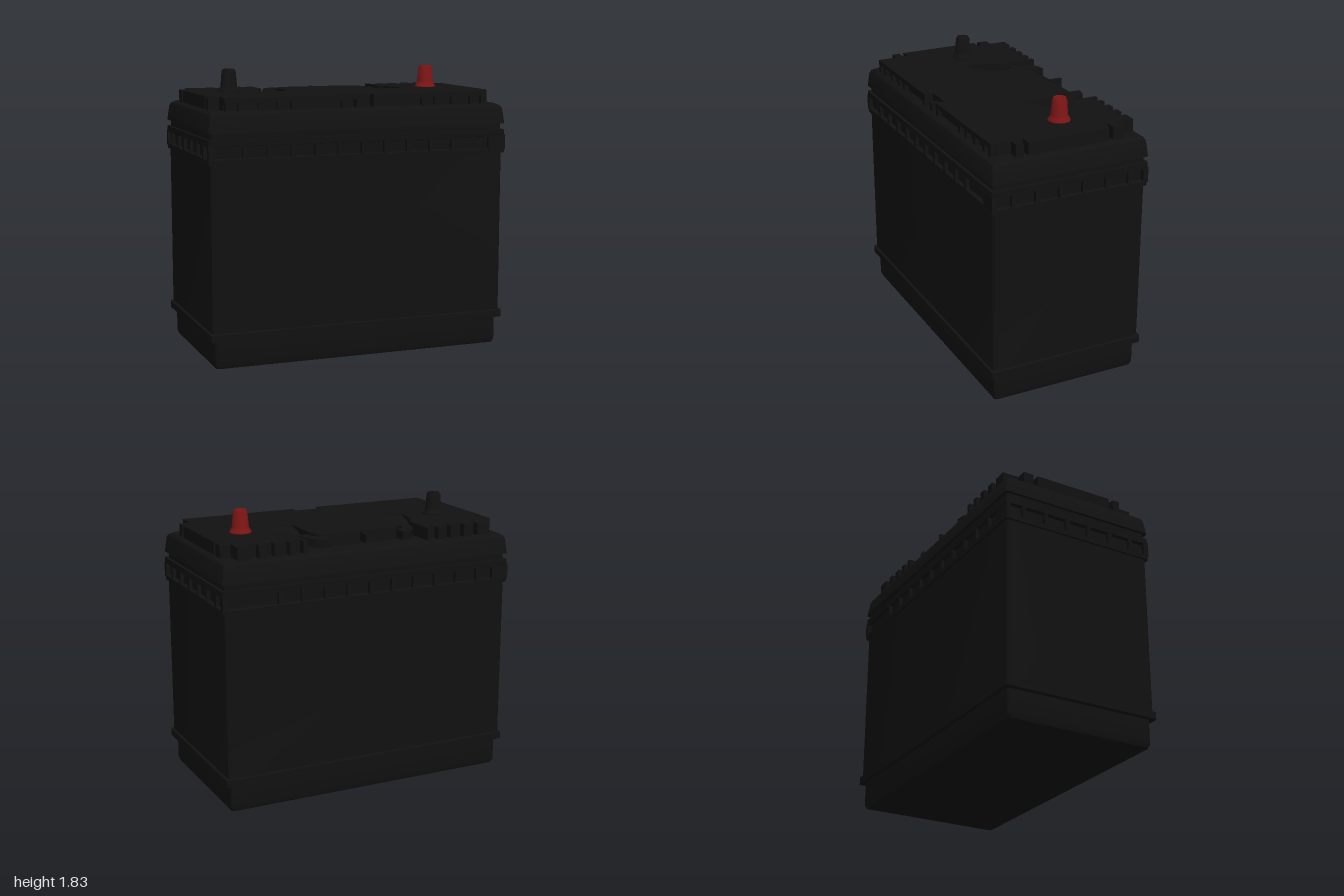
import * as THREE from 'three';
import { toCreasedNormals } from 'three/addons/utils/BufferGeometryUtils.js';

const black = new THREE.MeshStandardMaterial({ color: 0x111111 });
const red = new THREE.MeshStandardMaterial({ color: 0x7a1414 });

// Stack of rounded rectangles: each level is [halfX, halfZ, y].
function loft(levels, r = 0.02, seg = 3) {
  const pos = [], index = [];
  const n = 4 * (seg + 1);
  for (const [hx, hz, y] of levels) {
    for (let c = 0; c < 4; c++) {
      const sx = c === 0 || c === 3 ? 1 : -1, sz = c < 2 ? 1 : -1;
      for (let k = 0; k <= seg; k++) {
        const a = (c + k / seg) * Math.PI / 2;
        pos.push(sx * (hx - r) + r * Math.cos(a), y, sz * (hz - r) + r * Math.sin(a));
      }
    }
  }
  const last = (levels.length - 1) * n;
  for (let l = 0; l < last; l += n) {
    for (let i = 0; i < n; i++) {
      const j = (i + 1) % n;
      index.push(l + i, l + n + i, l + j, l + j, l + n + i, l + n + j);
    }
  }
  for (let i = 1; i < n - 1; i++) {
    index.push(0, i, i + 1, last, last + i + 1, last + i);
  }
  const g = new THREE.BufferGeometry();
  g.setAttribute('position', new THREE.Float32BufferAttribute(pos, 3));
  g.setIndex(index);
  return toCreasedNormals(g, 0.6);
}

// Outline given as [x, z] for the +x half, mirrored and raised from y0 to y1.
function plan(half, y0, y1) {
  const all = [...half, ...half.map(([x, z]) => [-x, z]).reverse()];
  const shape = new THREE.Shape(all.map(([x, z]) => new THREE.Vector2(x, -z)));
  const g = new THREE.ExtrudeGeometry(shape, { depth: y1 - y0, bevelEnabled: false });
  return g.rotateX(-Math.PI / 2).translate(0, y0, 0);
}

export function createModel() {
  const model = new THREE.Group();
  const add = (name, geometry, material = black, parent = model) => {
    const m = new THREE.Mesh(geometry, material);
    m.name = name;
    parent.add(m);
    return m;
  };
  const box = (name, x0, x1, y0, y1, z0, z1, parent) => add(name,
    new THREE.BoxGeometry(x1 - x0, y1 - y0, z1 - z0)
      .translate((x0 + x1) / 2, (y0 + y1) / 2, (z0 + z1) / 2), black, parent);

  // Case with stepped foot and lower rib
  add('case', loft([
    [0.955, 0.49, 0], [0.965, 0.5, 0.025], [0.965, 0.5, 0.18], [1, 0.53, 0.18],
    [1, 0.53, 0.225], [0.985, 0.515, 0.23], [0.985, 0.515, 1.28],
  ]));

  // Upper band: two rails around a recessed core
  add('bandCore', loft([
    [1, 0.53, 1.28], [1, 0.53, 1.31], [0.975, 0.505, 1.315],
    [0.975, 0.505, 1.385], [1, 0.53, 1.39], [1, 0.53, 1.43],
  ]));
  const ribs = new THREE.Group();
  ribs.name = 'bandRibs';
  model.add(ribs);
  for (const s of [-1, 1]) {
    for (let i = 0; i < 10; i++) {
      const x = -0.77 + i * 0.155;
      box('bandRib', x - 0.012, x + 0.012, 1.3, 1.4, s * 0.515 - 0.014, s * 0.515 + 0.014, ribs);
    }
    for (let i = 0; i < 6; i++) {
      const z = -0.4 + i * 0.158;
      box('bandRib', s * 0.985 - 0.014, s * 0.985 + 0.014, 1.3, 1.4, z - 0.012, z + 0.012, ribs);
    }
    for (const t of [-1, 1]) {
      const w = s * t > 0 ? 0.12 : 0.035;
      box('bandCorner', s * (1 - w / 2) - w / 2, s * (1 - w / 2) + w / 2, 1.3, 1.4,
        t * 0.512 - 0.017, t * 0.512 + 0.017, ribs);
    }
  }

  // Lid flange above a narrow neck
  add('lidFlange', loft([
    [0.98, 0.51, 1.42], [0.98, 0.51, 1.47], [1, 0.53, 1.47], [0.988, 0.518, 1.565],
    [0.978, 0.508, 1.585], [0.95, 0.48, 1.6],
  ]));

  // Raised lid with toothed back edge, notched sides and handle recess
  const teeth = [];
  for (const x of [0.79, 0.69, 0.59, 0.5]) {
    teeth.push([x, -0.48], [x, -0.43], [x - 0.05, -0.43], [x - 0.05, -0.48]);
  }
  const outline = (front) => [
    [0.09, 0.42], [0.09, front], [0.88, front], [0.88, 0.35], [0.95, 0.35], [0.95, 0.3],
    [0.88, 0.3], [0.88, 0.27], [0.95, 0.27], [0.95, -0.27], [0.88, -0.27], [0.88, -0.3],
    [0.95, -0.3], [0.95, -0.37], [0.88, -0.37], [0.88, -0.48], ...teeth,
    [0.42, -0.48], [0.42, -0.25], [0.455, -0.19], [0.485, -0.1], [0.5, 0],
    [0.31, 0], [0.31, -0.26], [0.29, -0.33], [0.24, -0.36],
  ];
  add('lidLower', plan(outline(0.45), 1.59, 1.65));
  add('lidTop', plan(outline(0.48), 1.65, 1.68));
  for (const s of [-1, 1]) {
    for (const x of [0.105, 0.44, 0.53, 0.65, 0.78, 0.86]) {
      box('lidFrontRib', s * x - 0.015, s * x + 0.015, 1.595, 1.655, 0.44, 0.479);
    }
  }
  box('lidFrontTab', -0.02, 0.02, 1.595, 1.65, 0.41, 0.475);

  // Ramps that lead down to the handle ends
  for (const s of [-1, 1]) {
    const g = new THREE.BoxGeometry(0.18, 0.085, 0.26).translate(s * 0.4, 1.6325, -0.13);
    const p = g.attributes.position;
    for (let i = 0; i < p.count; i++) {
      if (p.getY(i) > 1.64 && p.getZ(i) < -0.2) p.setY(i, 1.605);
    }
    g.computeVertexNormals();
    add('handleRamp', g);
  }

  // Carrying handle lying in the recess
  add('handle', plan([
    [0.33, -0.27], [0.315, -0.33], [0.29, -0.365], [0.25, -0.38],
    [0.25, -0.46], [0.31, -0.45], [0.35, -0.41], [0.385, -0.33], [0.4, -0.27],
  ].reverse().slice(0, 9), 1.615, 1.67).translate(0, 0, 0));
  box('handleSeam', -0.012, 0.012, 1.62, 1.676, -0.462, -0.378);
  for (const s of [-1, 1]) {
    box('handleFoot', s * 0.365 - 0.035, s * 0.365 + 0.035, 1.6, 1.66, -0.29, -0.25);
  }

  // Terminal posts
  const profile = [[0, 1.67], [0.07, 1.67], [0.07, 1.685], [0.057, 1.705], [0.054, 1.71],
    [0.046, 1.81], [0.038, 1.825], [0, 1.825]].map(([r, y]) => new THREE.Vector2(r, y));
  const post = toCreasedNormals(new THREE.LatheGeometry(profile, 28), 0.5);
  add('positiveTerminal', post, red).position.set(0.695, 0, -0.07);
  add('negativeTerminal', post, black).position.set(-0.695, 0, -0.07);
  return model;
}
